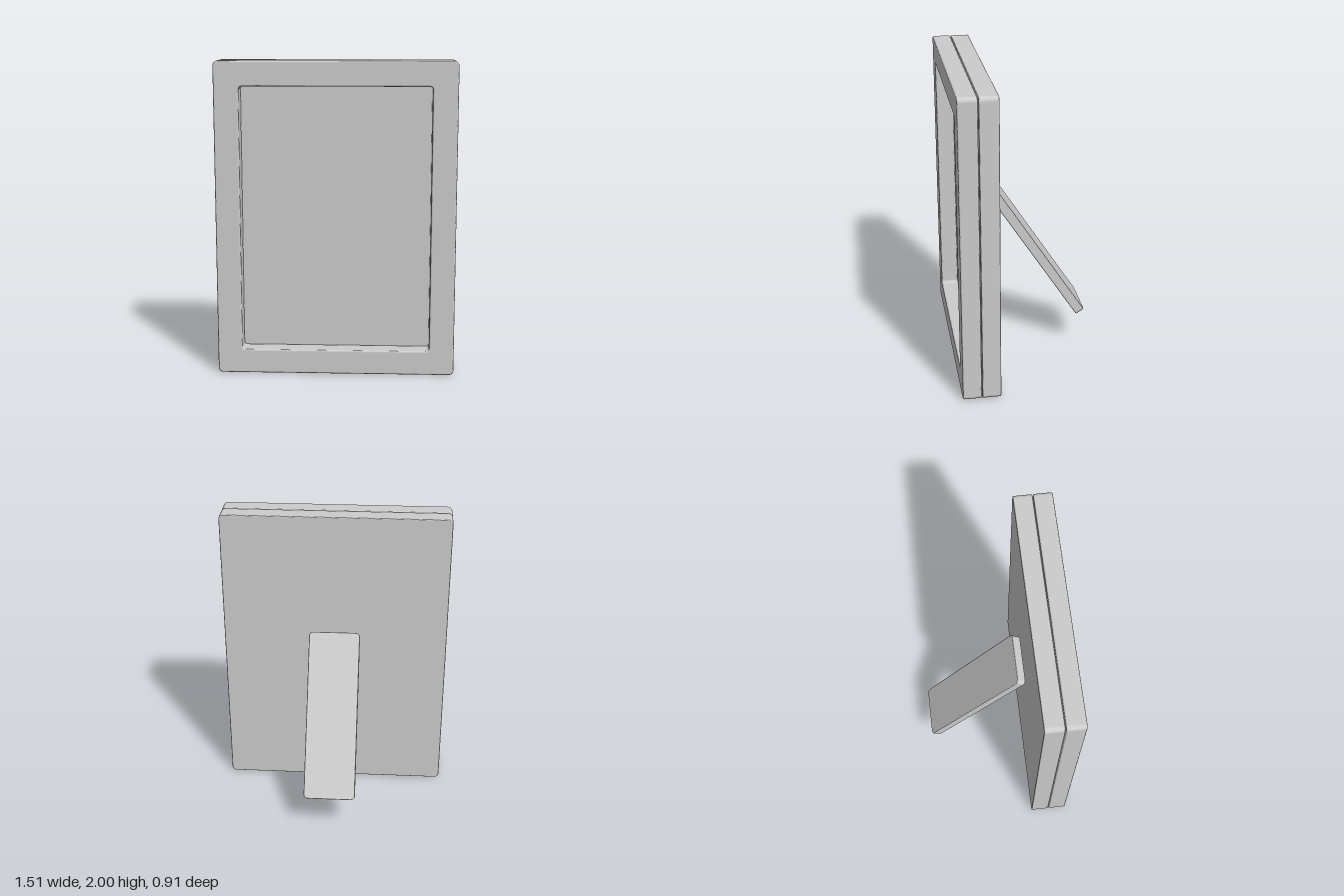
import * as THREE from 'three';

// Adds a rounded rectangle outline, centred on the origin
function roundRect(path, w, h, r) {
  const x = w / 2, y = h / 2;
  path.moveTo(-x + r, -y);
  path.lineTo(x - r, -y);
  path.absarc(x - r, -y + r, r, -Math.PI / 2, 0);
  path.lineTo(x, y - r);
  path.absarc(x - r, y - r, r, 0, Math.PI / 2);
  path.lineTo(-x + r, y);
  path.absarc(-x + r, y - r, r, Math.PI / 2, Math.PI);
  path.lineTo(-x, -y + r);
  path.absarc(-x + r, -y + r, r, Math.PI, Math.PI * 1.5);
  return path;
}

// Slab with softened edges, centred on the origin; w, h and depth are full sizes
function slab(w, h, depth, radius, bevel, hole) {
  const shape = roundRect(new THREE.Shape(), w, h, radius);
  if (hole) shape.holes.push(roundRect(new THREE.Path(), hole.w, hole.h, hole.r));
  const geometry = new THREE.ExtrudeGeometry(shape, {
    depth: depth - 2 * bevel,
    bevelThickness: bevel,
    bevelSize: bevel,
    bevelOffset: -bevel,
    bevelSegments: 5,
    curveSegments: 8,
  });
  return geometry.translate(0, 0, bevel - depth / 2);
}

export function createModel() {
  const model = new THREE.Group();
  const grey = new THREE.MeshStandardMaterial({ color: 0xcccccc });
  grey.name = 'light grey';

  function add(name, geometry, y, z, tilt = 0) {
    const mesh = new THREE.Mesh(geometry, grey);
    mesh.name = name;
    mesh.position.set(0, y, z);
    mesh.rotation.x = tilt;
    model.add(mesh);
  }

  // Front border with its rectangular opening
  add('frontFrame', slab(1.514, 2, 0.121, 0.03, 0.011, { w: 1.198, h: 1.684, r: 0.02 }), 1, 0.3975);

  // Solid panel behind the opening
  add('backPanel', slab(1.514, 2, 0.121, 0.03, 0.007), 1, 0.2725);

  // Leaning support leg
  add('standLeg', slab(0.342, 1.12, 0.064, 0.028, 0.006), 0.714, -0.124, THREE.MathUtils.degToRad(33));

  return model;
}
